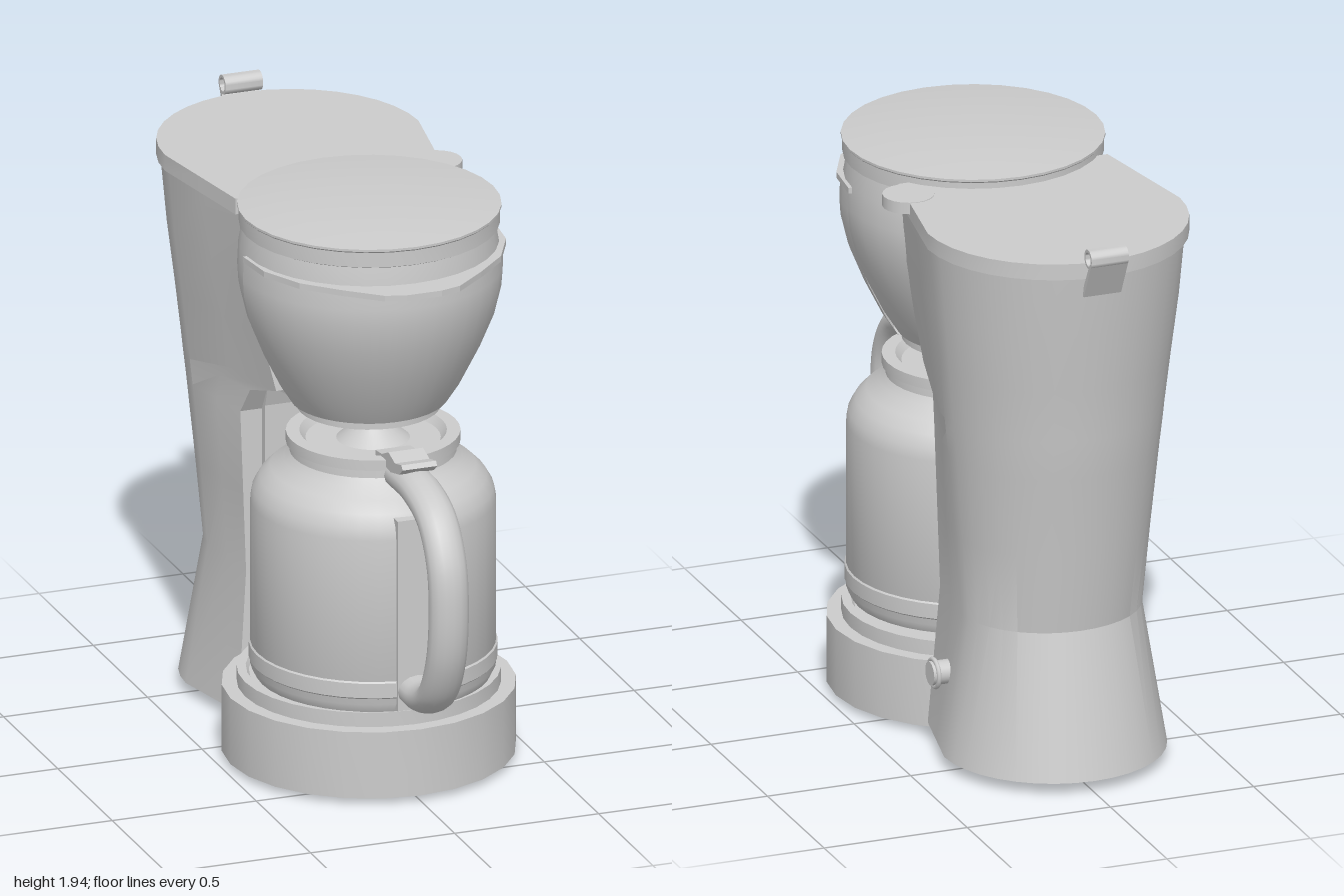
import * as THREE from 'three';
import { toCreasedNormals } from 'three/addons/utils/BufferGeometryUtils.js';
import { ConvexGeometry } from 'three/addons/geometries/ConvexGeometry.js';

const grey = new THREE.MeshStandardMaterial({ color: 0xcccccc, side: THREE.DoubleSide });

export function createModel() {
  const model = new THREE.Group();

  function add(name, geometry, x = 0, y = 0, z = 0, parent = model) {
    const mesh = new THREE.Mesh(geometry, grey);
    mesh.name = name;
    mesh.position.set(x, y, z);
    parent.add(mesh);
    return mesh;
  }

  // Turned part from [radius, height] pairs, bottom to top
  function turned(profile, sides = 32, start = 0, length = Math.PI * 2) {
    const pts = profile.map(([r, y]) => new THREE.Vector2(r, y));
    return toCreasedNormals(new THREE.LatheGeometry(pts, sides, start, length), 0.5);
  }

  // Outline extruded along x, drawn as [z, y] pairs
  function sidePlate(outline, width) {
    const shape = new THREE.Shape(outline.map(([z, y]) => new THREE.Vector2(-z, y)));
    const g = new THREE.ExtrudeGeometry(shape, { depth: width, bevelEnabled: false });
    return g.translate(0, 0, -width / 2).rotateY(Math.PI / 2);
  }

  // Loft of round-backed sections; each level is [y, halfWidth, arcCentreZ, backZ, frontHalfWidth, frontZ]
  function loft(levels) {
    const pos = [], idx = [], arc = 18;
    for (const [y, w, zc, zb, wf, zf] of levels) {
      const midX = w * 0.5 + wf * 0.5, midZ = (zc + zf) / 2;
      const ring = [[wf, zf], [midX, midZ]];
      for (let i = 0; i <= arc; i++) {
        const a = (i / arc) * Math.PI;
        ring.push([w * Math.cos(a), zc + (zb - zc) * Math.sin(a)]);
      }
      ring.push([-midX, midZ], [-wf, zf]);
      ring.forEach(([x, z]) => pos.push(x, y, z));
    }
    const n = arc + 5, top = (levels.length - 1) * n;
    for (let k = 0; k < levels.length - 1; k++) {
      for (let i = 0; i < n; i++) {
        const a = k * n + i, b = k * n + (i + 1) % n;
        idx.push(a, b, b + n, a, b + n, a + n);
      }
    }
    for (let i = 1; i < n - 1; i++) idx.push(0, i + 1, i, top, top + i, top + i + 1);
    const g = new THREE.BufferGeometry();
    g.setAttribute('position', new THREE.Float32BufferAttribute(pos, 3));
    g.setIndex(idx);
    return toCreasedNormals(g, 0.33);
  }

  // Base, hot plate and feet
  add('base', turned([[0, 0.02], [0.48, 0.02], [0.48, 0.25], [0, 0.25]], 24), 0, 0, 0.21);
  add('hotPlate', turned([[0.43, 0.24], [0.43, 0.3], [0.4, 0.3], [0.39, 0.285], [0, 0.285]]), 0, 0, 0.21);
  for (const s of [-1, 1]) {
    add('frontFoot', new THREE.CylinderGeometry(0.035, 0.035, 0.04, 12), s * 0.35, 0.02, 0.31);
    add('rearFoot', new THREE.CylinderGeometry(0.035, 0.035, 0.06, 12), s * 0.275, 0.03, -0.52);
  }

  // Water tower: flared foot, waist, and an overhang that meets the basket
  add('tower', loft([
    [0.04, 0.375, -0.48, -0.86, 0.31, -0.17],
    [0.52, 0.305, -0.46, -0.74, 0.275, -0.19],
    [0.8, 0.33, -0.46, -0.78, 0.285, -0.19],
    [1.08, 0.355, -0.47, -0.82, 0.295, -0.19],
    [1.17, 0.365, -0.47, -0.835, 0.28, -0.14],
    [1.22, 0.37, -0.47, -0.84, 0.25, 0.02],
    [1.4, 0.388, -0.48, -0.865, 0.29, 0],
    [1.6, 0.41, -0.49, -0.895, 0.33, -0.03],
    [1.83, 0.43, -0.49, -0.925, 0.355, -0.05],
  ]));
  add('towerLid', loft([
    [1.825, 0.44, -0.5, -0.94, 0.365, -0.05],
    [1.88, 0.44, -0.5, -0.94, 0.365, -0.05],
  ]));
  add('lidTab', new THREE.CylinderGeometry(0.085, 0.085, 0.04, 20), 0.368, 1.862, -0.145);

  // Trim lining the recess behind the jug
  add('recessTrim', sidePlate([
    [0.07, 1.24], [0.06, 1.215], [-0.1, 1.185], [-0.14, 1.16], [-0.16, 1.1], [-0.165, 0.32],
    [-0.155, 0.24], [-0.22, 0.24], [-0.22, 1.24],
  ], 0.44));

  // Switch on the left side
  const button = add('switchButton', toCreasedNormals(
    new THREE.CylinderGeometry(0.04, 0.04, 0.08, 20), 0.5), 0.34, 0.29, -0.365);
  button.rotation.z = Math.PI / 2;
  const bezel = add('switchBezel', new THREE.TorusGeometry(0.046, 0.008, 8, 24), 0.365, 0.29, -0.365);
  bezel.rotation.y = Math.PI / 2;

  // Rear clip: rolled sleeve and its plate
  const sleeve = new THREE.Shape().absarc(0, 0, 0.033, 0, Math.PI * 2);
  sleeve.holes.push(new THREE.Path().absarc(0, 0, 0.023, 0, Math.PI * 2));
  const sleeveGeometry = new THREE.ExtrudeGeometry(sleeve, { depth: 0.13, bevelEnabled: false, curveSegments: 12 });
  add('clipSleeve', toCreasedNormals(sleeveGeometry.translate(0, 0, -0.065).rotateY(Math.PI / 2), 0.6), 0, 1.905, -0.967);
  add('clipPlate', sidePlate([[-0.92, 1.76], [-0.93, 1.76], [-0.995, 1.89], [-0.98, 1.89], [-0.93, 1.8]], 0.13));

  // Filter basket: rear shell, slightly prouder front door, outlet and lid
  const bowl = [[0.25, 1.24], [0.295, 1.31], [0.355, 1.43], [0.4, 1.54], [0.424, 1.64], [0.428, 1.7], [0.424, 1.78]];
  const basket = new THREE.Group();
  basket.name = 'filterBasket';
  basket.position.z = 0.21;
  model.add(basket);
  add('basketShell', turned([[0, 1.24], ...bowl, [0.41, 1.86]]), 0, 0, 0, basket);
  add('basketDoor', turned([[0.25, 1.24], ...bowl.map(([r, y]) => [r + 0.009, y]), [0.42, 1.78]],
    20, -Math.PI / 2, Math.PI), 0, 0, 0, basket);
  add('basketRing', turned([[0, 1.215], [0.235, 1.21], [0.235, 1.25]]), 0, 0, 0, basket);
  add('basketLid', turned([[0.415, 1.845], [0.425, 1.85], [0.425, 1.9], [0.43, 1.905], [0.43, 1.913],
    [0.3, 1.928], [0.15, 1.936], [0, 1.939]], 32), 0, 0, 0.005, basket);
  add('dripOutlet', new THREE.SphereGeometry(0.046, 20, 12), 0, 1.205, 0.25);

  // Pull lip around the door
  const half = [[0.437, 0.21], [0.42, 0.36], [0.35, 0.5], [0.24, 0.61], [0.13, 0.705], [0.06, 0.725]];
  const lip = new THREE.Shape([...half, ...half.map(([x, z]) => [-x, z]).reverse()]
    .map(([x, z]) => new THREE.Vector2(x, z)));
  add('doorLip', new THREE.ExtrudeGeometry(lip, { depth: 0.02, bevelEnabled: false }).rotateX(Math.PI / 2), 0, 1.782, 0);

  // Jug with lid, spout, strap and handle
  const jug = new THREE.Group();
  jug.name = 'jug';
  jug.position.z = 0.25;
  model.add(jug);
  add('jugBody', turned([[0, 0.3], [0.385, 0.3], [0.4, 0.33], [0.4, 0.9], [0.393, 0.94], [0.37, 0.98],
    [0.335, 1.015], [0.29, 1.045], [0.272, 1.07], [0.27, 1.11]], 40), 0, 0, 0, jug);
  add('jugBand', turned([[0.4, 0.35], [0.405, 0.355], [0.405, 0.405], [0.4, 0.41]], 40), 0, 0, 0, jug);
  add('jugRim', turned([[0.265, 1.1], [0.284, 1.1], [0.284, 1.136], [0.24, 1.136], [0.22, 1.11],
    [0.12, 1.11], [0.085, 1.14], [0.06, 1.165], [0, 1.172]], 36), 0, 0, 0, jug);
  add('spout', new ConvexGeometry([
    [-0.11, 1.115, -0.23], [0.11, 1.115, -0.23], [0, 1.02, -0.27],
    [-0.03, 1.118, -0.355], [0.03, 1.118, -0.355], [0, 1.1, -0.355],
  ].map((p) => new THREE.Vector3(...p))), 0, 0, 0, jug);
  add('handleStrap', new THREE.BoxGeometry(0.136, 0.66, 0.04), 0, 0.64, 0.388, jug);
  add('thumbTab', sidePlate([[0.18, 1.12], [0.18, 1.137], [0.24, 1.145], [0.3, 1.172], [0.36, 1.155],
    [0.42, 1.17], [0.43, 1.155], [0.4, 1.13], [0.32, 1.11]], 0.12), 0, 0, 0, jug);

  const path = new THREE.CatmullRomCurve3([
    [0.53, 1.085], [0.7, 1.08], [0.84, 1.03], [0.925, 0.91], [0.946, 0.75],
    [0.92, 0.57], [0.84, 0.43], [0.74, 0.38], [0.63, 0.375],
  ].map(([z, y]) => new THREE.Vector3(0, y, z - 0.25)));
  const handle = add('handle', new THREE.TubeGeometry(path, 48, 0.052, 16), 0, 0, 0, jug);
  handle.scale.x = 1.3;

  return model;
}
